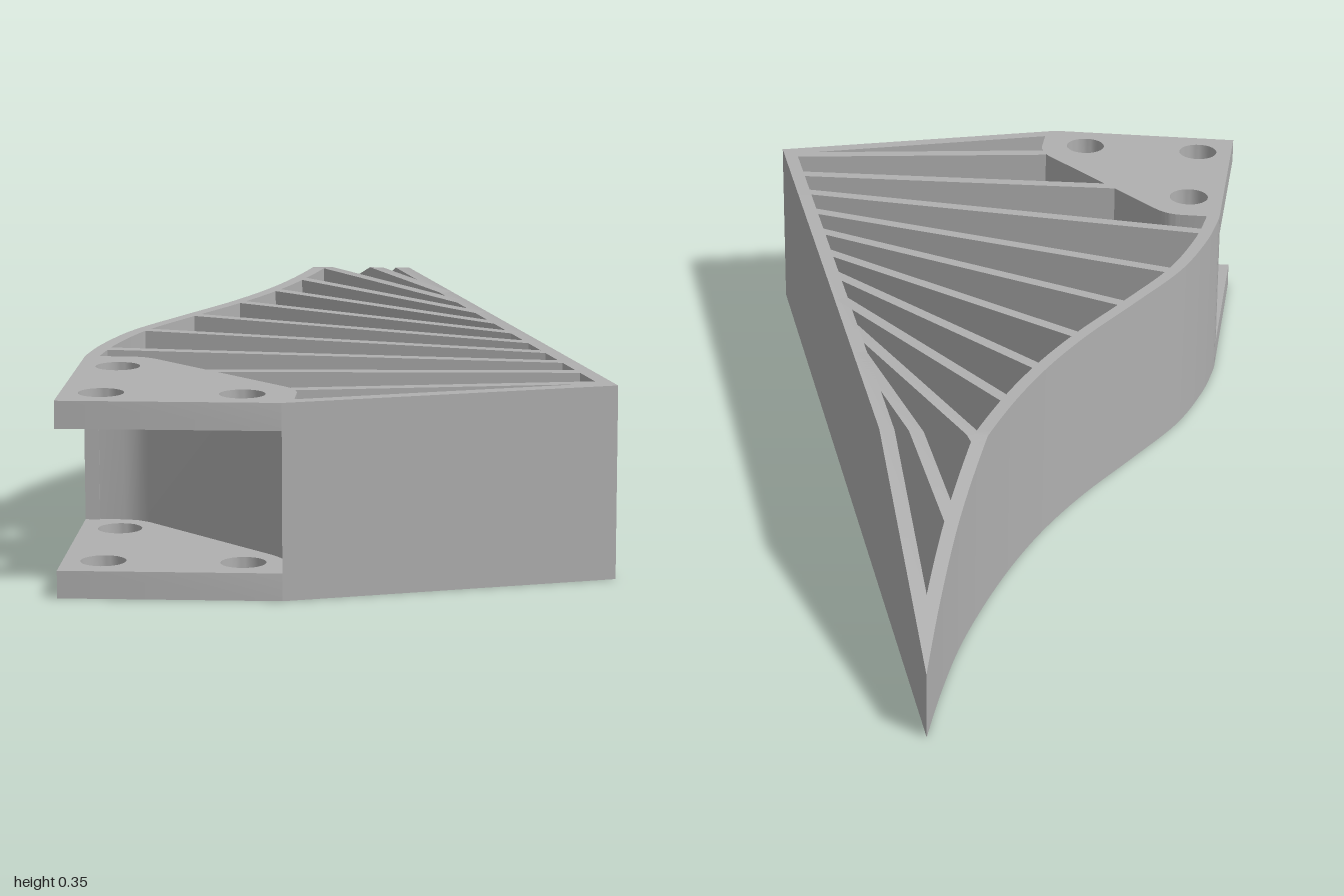
import * as THREE from 'three';
import { toCreasedNormals } from 'three/addons/utils/BufferGeometryUtils.js';

const HEIGHT = 0.355, PLATE = 0.05, CUT_Z = -0.5;

// Top height: level, then sloping down towards the tip
const topY = (z) => (z < CUT_Z ? HEIGHT - (CUT_Z - z) * 0.45 : HEIGHT);

// Upright strip between two plan lines [x, z]; line a lies to the right of travel
function strip(a, b) {
  const A = [a[0]], B = [b[0]];
  const lerp = (p, q) => {
    const t = (CUT_Z - p[1]) / (q[1] - p[1]);
    return [p[0] + (q[0] - p[0]) * t, CUT_Z];
  };
  const crosses = (p, q) => (p[1] - CUT_Z) * (q[1] - CUT_Z) < 0;
  for (let i = 1; i < a.length; i++) {
    if (crosses(a[i - 1], a[i]) && crosses(b[i - 1], b[i])) {
      A.push(lerp(a[i - 1], a[i]));
      B.push(lerp(b[i - 1], b[i]));
    }
    A.push(a[i]);
    B.push(b[i]);
  }
  const pos = [];
  const low = ([x, z]) => [x, 0, z];
  const high = ([x, z]) => [x, topY(z), z];
  const quad = (p, q, r, s) => pos.push(...p, ...q, ...r, ...p, ...r, ...s);
  for (let i = 0; i < A.length - 1; i++) {
    const [a0, a1, b0, b1] = [A[i], A[i + 1], B[i], B[i + 1]];
    quad(high(a0), high(a1), high(b1), high(b0));
    quad(low(b0), low(b1), low(a1), low(a0));
    quad(low(a0), low(a1), high(a1), high(a0));
    quad(high(b0), high(b1), low(b1), low(b0));
  }
  const n = A.length - 1;
  quad(low(A[0]), high(A[0]), high(B[0]), low(B[0]));
  quad(low(B[n]), high(B[n]), high(A[n]), low(A[n]));
  const geo = new THREE.BufferGeometry();
  geo.setAttribute('position', new THREE.Float32BufferAttribute(pos, 3));
  return toCreasedNormals(geo, 0.5);
}

export function createModel() {
  const model = new THREE.Group();
  model.name = 'ribbedBracket';
  const grey = new THREE.MeshStandardMaterial({ color: 0xb0b0b0 });
  grey.name = 'grey';
  const add = (name, geo) => {
    const mesh = new THREE.Mesh(geo, grey);
    mesh.name = name;
    model.add(mesh);
    return mesh;
  };

  // Plan edges: straight on the +x side, S-curve on the -x side
  const straightX = (z) => -0.093 + (z + 1) * (0.585 / 1.81);
  const curve = new THREE.SplineCurve([
    [-0.093, -1], [-0.097, -0.85], [-0.109, -0.68], [-0.136, -0.505], [-0.172, -0.34],
    [-0.217, -0.19], [-0.277, -0.04], [-0.355, 0.12], [-0.434, 0.29], [-0.475, 0.44],
    [-0.491, 0.55], [-0.493, 0.6],
  ].map(([x, z]) => new THREE.Vector2(x, z)));
  const outer = curve.getPoints(66).map((p) => [p.x, p.y]);
  const curveX = (z) => {
    const i = Math.max(1, outer.findIndex((p) => p[1] >= z));
    const [p, q] = [outer[i - 1], outer[i]];
    return p[0] + (q[0] - p[0]) * (z - p[1]) / (q[1] - p[1]);
  };

  // Outer walls
  add('curvedWall', strip(outer,
    outer.map(([x, z]) => [Math.max(x, Math.min(x + 0.027, straightX(z))), z])));
  const stations = [-1, -0.908, CUT_Z, 0.81];
  add('straightWall', strip(
    stations.map((z) => [z === -1 ? straightX(z) : straightX(z) - 0.029, z]),
    stations.map((z) => [straightX(z), z])));
  add('frontWall', strip([[-0.095, 1], [0.492, 0.81]], [[-0.095, 0.972], [0.483, 0.783]]));

  // Wall behind the mounting gap
  add('gapWall', strip(
    [[-0.493, 0.597], [-0.42, 0.597], [-0.395, 0.602], [-0.372, 0.616], [-0.12, 0.866],
      [-0.104, 0.888], [-0.097, 0.915], [-0.095, 1]],
    [[-0.493, 0.572], [-0.41, 0.572], [-0.382, 0.578], [-0.355, 0.597], [-0.1, 0.85],
      [-0.083, 0.877], [-0.075, 0.91], [-0.075, 0.993]]));

  // Fan of ribs, as z at the curved wall and z at the straight wall
  const ribs = [
    [-0.69, -0.18], [-0.515, -0.06], [-0.35, 0.06], [-0.2, 0.18], [-0.047, 0.285],
    [0.112, 0.388], [0.285, 0.488], [0.492, 0.585],
  ].map(([z0, z1]) => [curveX(z0) + 0.012, z0, z1]);
  ribs.push([-0.26, 0.706, 0.68], [-0.087, 0.872, 0.783]);
  ribs.forEach(([x0, z0, z1], i) => {
    const x1 = straightX(z1) - 0.015;
    const len = Math.hypot(x1 - x0, z1 - z0);
    const nx = -(z1 - z0) / len * 0.0125, nz = (x1 - x0) / len * 0.0125;
    add(`rib${i + 1}`, strip(
      [[x0 + nx, z0 + nz], [x1 + nx, z1 + nz]],
      [[x0 - nx, z0 - nz], [x1 - nx, z1 - nz]]));
  });

  // Two mounting plates with three bolt holes each
  const shape = new THREE.Shape();
  shape.moveTo(-0.493, -1);
  shape.lineTo(-0.095, -1);
  shape.lineTo(-0.075, -0.993);
  shape.lineTo(-0.075, -0.91);
  shape.quadraticCurveTo(-0.075, -0.875, -0.1, -0.85);
  shape.lineTo(-0.355, -0.597);
  shape.quadraticCurveTo(-0.38, -0.572, -0.415, -0.572);
  shape.lineTo(-0.493, -0.572);
  for (const [x, z] of [[-0.42, 0.67], [-0.42, 0.922], [-0.17, 0.922]]) {
    shape.holes.push(new THREE.Path().absarc(x, -z, 0.041, 0, Math.PI * 2, true));
  }
  const plate = toCreasedNormals(new THREE.ExtrudeGeometry(shape,
    { depth: PLATE, bevelEnabled: false, curveSegments: 16 }).rotateX(-Math.PI / 2), 0.5);
  add('lowerPlate', plate);
  add('upperPlate', plate).position.y = HEIGHT - PLATE;

  return model;
}
